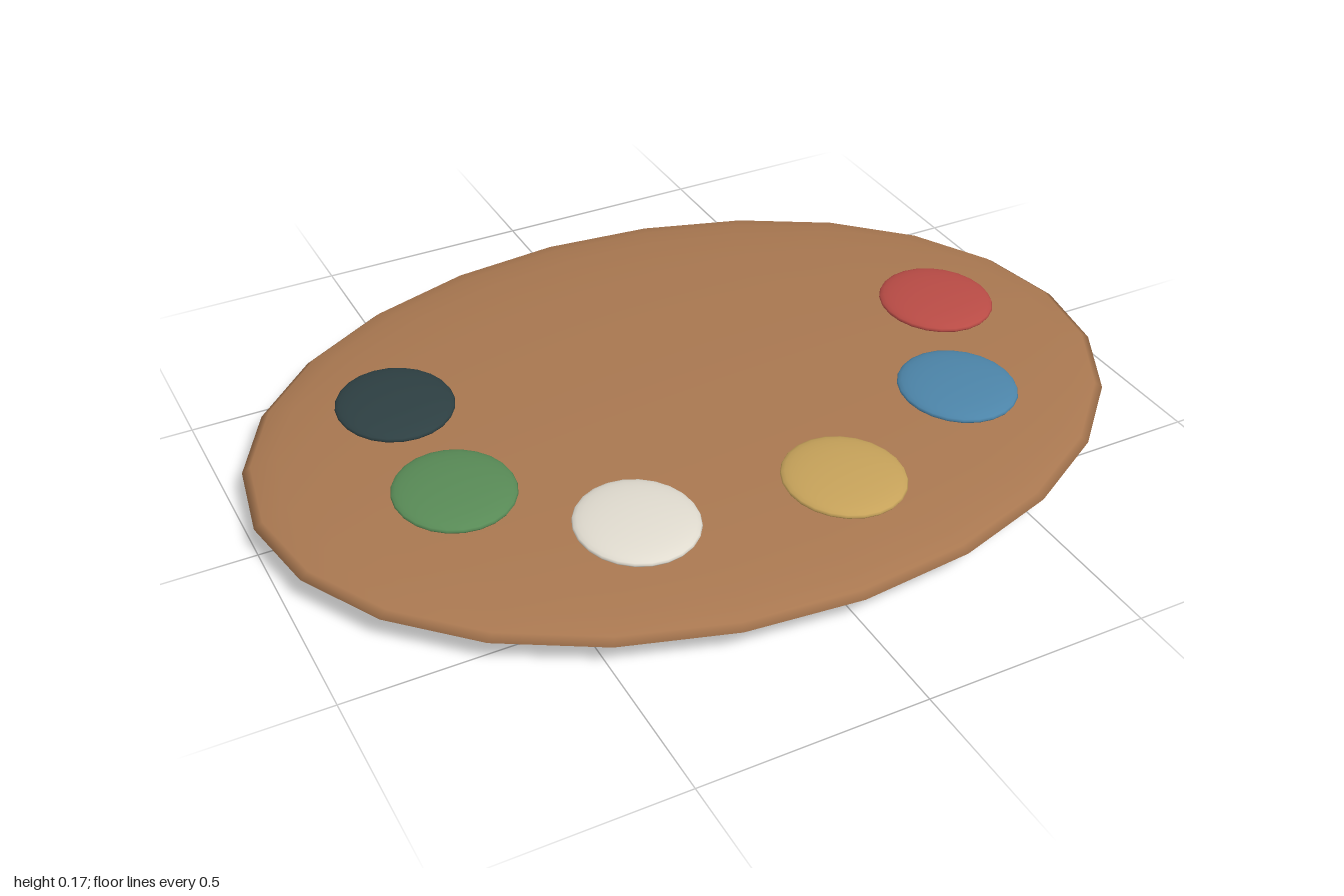
import * as THREE from 'three';

const material = (name, color) => {
  const m = new THREE.MeshStandardMaterial({ color });
  m.name = name;
  return m;
};

// Smooth sphere flattened into a lens
function lens(name, mat, radii, position, around, rings) {
  const geometry = new THREE.SphereGeometry(1, around, rings);
  geometry.scale(...radii);
  const mesh = new THREE.Mesh(geometry, mat);
  mesh.name = name;
  mesh.position.set(...position);
  return mesh;
}

export function createModel() {
  const group = new THREE.Group();
  group.name = 'paintPalette';

  // Wooden board
  group.add(lens('board', material('wood', 0xa87750), [1, 0.067, 0.765], [0, 0.067, 0], 24, 16));

  // Paint dabs around the front edge: name, colour, x, z
  const dabs = [
    ['red', 0xb84b45, 0.66, 0],
    ['blue', 0x4c84a8, 0.503, 0.324],
    ['yellow', 0xc6a25a, 0.11, 0.493],
    ['white', 0xe0dbcf, -0.335, 0.432],
    ['green', 0x588a56, -0.62, 0.168],
    ['black', 0x2d3f42, -0.62, -0.178],
  ];
  for (const [name, color, x, z] of dabs) {
    group.add(lens(name + 'Paint', material(name, color), [0.129, 0.022, 0.141], [x, 0.149, z], 24, 16));
  }
  return group;
}
